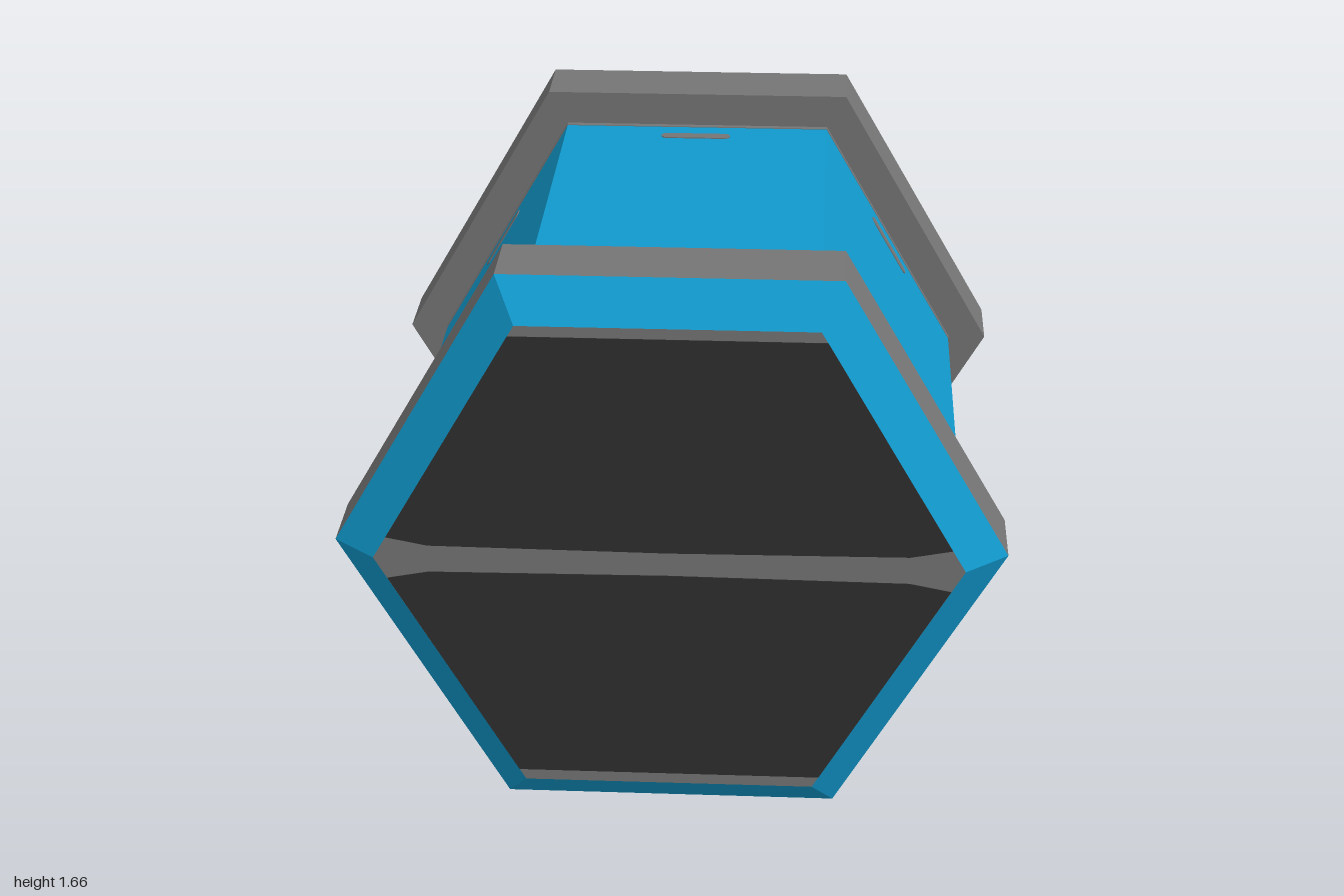
import * as THREE from 'three';

const CY = 0.834;      // height of the long axis
const BODY_R = 0.836;  // corner radius of the barrel and end faces

// Six-sided prism or frustum along z, from z0 to z1, with corners on the x axis
function hex(r0, r1, z0, z1, open = false) {
  const g = new THREE.CylinderGeometry(r1, r0, z1 - z0, 6, 1, open, Math.PI / 2)
    .rotateX(Math.PI / 2).translate(0, 0, (z0 + z1) / 2).toNonIndexed();
  g.computeVertexNormals();
  return g;
}

// Flat plate of given outline
function plate(points, depth) {
  const shape = new THREE.Shape(points.map(([x, y]) => new THREE.Vector2(x, y)));
  return new THREE.ExtrudeGeometry(shape, { depth, bevelEnabled: false });
}

// Rounded slot marking, long along x, facing +y
function slotGeometry(length, width) {
  const r = width / 2, h = length / 2 - r;
  const s = new THREE.Shape();
  s.absarc(h, 0, r, -Math.PI / 2, Math.PI / 2);
  s.absarc(-h, 0, r, Math.PI / 2, Math.PI * 1.5);
  return new THREE.ExtrudeGeometry(s, { depth: 0.003, bevelEnabled: false, curveSegments: 6 })
    .rotateX(-Math.PI / 2);
}

export function createModel() {
  const blue = new THREE.MeshStandardMaterial({ color: 0x1199cc });
  blue.name = 'blue';
  const grey = new THREE.MeshStandardMaterial({ color: 0x757575 });
  grey.name = 'grey';
  const dark = new THREE.MeshStandardMaterial({ color: 0x2f2f2f });
  dark.name = 'dark';

  const model = new THREE.Group();
  model.name = 'hexBarrel';
  const add = (parent, name, geometry, material) => {
    const m = new THREE.Mesh(geometry, material);
    m.name = name;
    parent.add(m);
    return m;
  };

  const core = new THREE.Group();
  core.name = 'core';
  core.position.y = CY;
  model.add(core);
  add(core, 'barrel', hex(BODY_R, BODY_R, -0.7, 0.7), blue);

  // Slot markings near both ends of all six sides
  const slot = slotGeometry(0.22, 0.04);
  const apothem = BODY_R * Math.cos(Math.PI / 6);
  for (let i = 0; i < 6; i++) {
    const side = new THREE.Group();
    side.name = 'sideMarkings';
    side.rotation.z = i * Math.PI / 3;
    core.add(side);
    for (const z of [0.572, -0.535]) {
      add(side, 'slot', slot, grey).position.set(0, apothem, z);
    }
  }

  // Half of the dark end cover, leaving a grey band that flares at its tips
  const upper = [[-0.798, 0.065], [-0.68, 0.042], [0, 0.036], [0.68, 0.042],
    [0.798, 0.065], [0.437, 0.692], [-0.437, 0.692]];
  const lower = upper.map(([x, y]) => [x, -y]).reverse();

  // The two end caps; the back one is turned round
  const ends = [
    { name: 'frontCap', r: 0.96, inner: 0.677, outer: 0.895, turn: 0 },
    { name: 'backCap', r: 0.957, inner: 0.64, outer: 0.867, turn: Math.PI },
  ];
  for (const { name, r, inner, outer, turn } of ends) {
    const cap = new THREE.Group();
    cap.name = name;
    cap.rotation.y = turn;
    core.add(cap);
    add(cap, 'rim', hex(r, r, inner, outer), grey);
    add(cap, 'seam', hex(BODY_R + 0.002, BODY_R + 0.002, inner - 0.02, inner + 0.01), grey);
    add(cap, 'chamfer', hex(r, BODY_R, outer, 1, true), blue);
    add(cap, 'endFace', hex(BODY_R, BODY_R, 0.98, 0.998), grey);
    for (const outline of [upper, lower]) {
      add(cap, 'endPanel', plate(outline, 0.004), dark).position.z = 0.996;
    }
  }
  return model;
}
